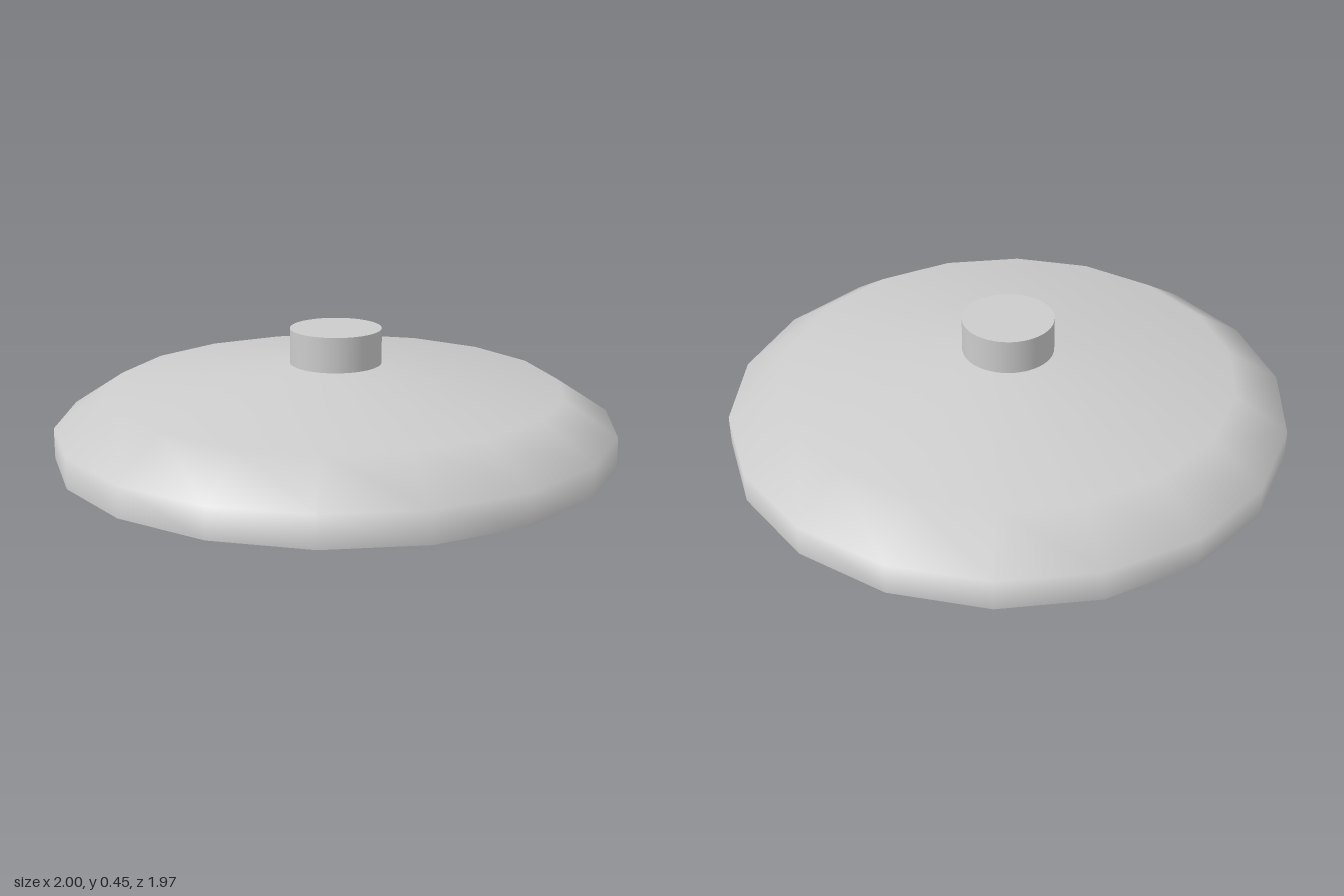
import * as THREE from 'three';

const SIDES = 18;

export function createModel() {
  const group = new THREE.Group();
  const material = new THREE.MeshStandardMaterial({ color: 0xcccccc });

  const add = (name, geometry, y = 0) => {
    const mesh = new THREE.Mesh(geometry, material);
    mesh.name = name;
    mesh.position.y = y;
    group.add(mesh);
    return mesh;
  };

  // Smooth shallow dome: upright rim, sloped shoulder, gentle cone up to the stem
  const profile = [[1, 0], [1, 0.11], [0.81, 0.235], [0.163, 0.322], [0, 0.322]]
    .map(([r, y]) => new THREE.Vector2(r, y));
  add('dome', new THREE.LatheGeometry(profile, SIDES, Math.PI / 2));

  // Flat underside
  add('base', new THREE.CircleGeometry(1, SIDES).rotateX(Math.PI / 2));

  // Short round stem on top
  const bottom = 0.3, top = 0.447;
  add('stem', new THREE.CylinderGeometry(0.163, 0.163, top - bottom, 48), (top + bottom) / 2);

  return group;
}
